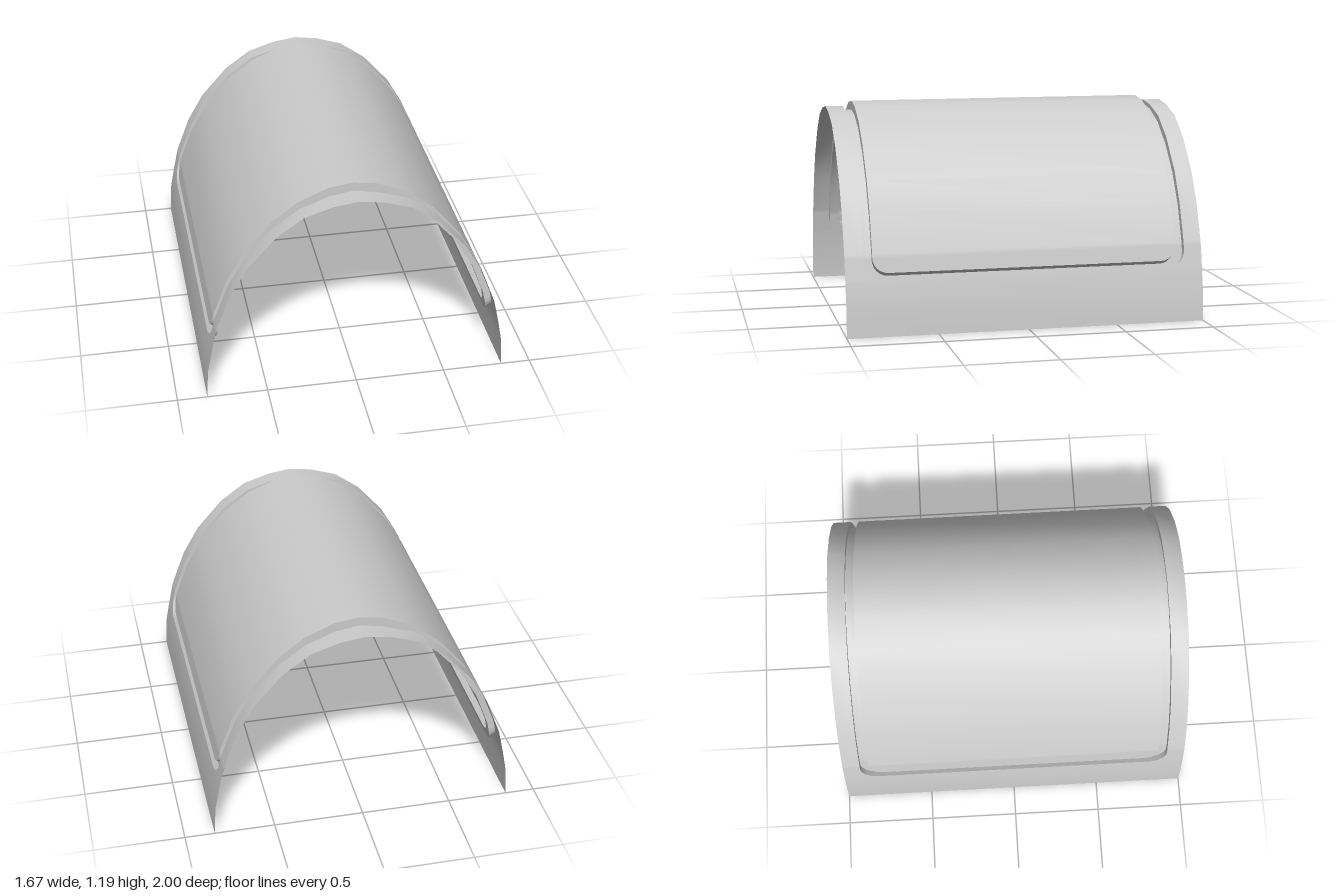
import * as THREE from 'three';
import { mergeGeometries, mergeVertices } from 'three/addons/utils/BufferGeometryUtils.js';

// Half cross-sections [x, y] from the crown down; all share one station index k
const SHELL = [[0, 1.165], [0.135, 1.146], [0.29, 1.097], [0.44, 0.99], [0.595, 0.815],
  [0.69, 0.65], [0.77, 0.44], [0.8, 0.302], [0.825, 0.17], [0.835, 0]];
const FLOOR = [[0, 1.143], [0.13, 1.122], [0.28, 1.06], [0.425, 0.95], [0.555, 0.805],
  [0.66, 0.63], [0.735, 0.43], [0.765, 0.283]];
const PANEL = [[0, 1.193], [0.135, 1.174], [0.295, 1.105], [0.44, 0.995], [0.592, 0.815],
  [0.69, 0.65], [0.768, 0.44], [0.793, 0.307]];

// Rounded outlines: end station, station where the corner starts, half length, corner radius
const OUTER = { end: 7, corner: 6.3, half: 0.9, r: 0.1 };
const INNER = { end: 6.76, corner: 6.15, half: 0.85, r: 0.085 };

// Point on a cross-section at signed station k
function at(profile, k, z) {
  const a = Math.abs(k);
  const i = Math.min(Math.floor(a), profile.length - 2);
  const f = a - i;
  const [p, q] = [profile[i], profile[i + 1]];
  return [Math.sign(k) * (p[0] + (q[0] - p[0]) * f), p[1] + (q[1] - p[1]) * f, z];
}

// Half length of an outline at station k
function width(o, k) {
  const t = Math.min(1, Math.max(0, (Math.abs(k) - o.corner) / (o.end - o.corner)));
  return o.half - o.r * (1 - Math.sqrt(1 - t * t));
}

// Stations from a to b, including breakpoints and rounded corner steps
function stations(a, b) {
  const set = new Set([a, b]);
  for (let k = -9; k <= 9; k++) set.add(k);
  for (const o of [OUTER, INNER]) {
    for (let i = 0; i <= 6; i++) {
      const k = o.corner + (o.end - o.corner) * Math.sin((i / 6) * Math.PI / 2);
      set.add(k).add(-k);
    }
  }
  return [...set].filter((k) => k >= a && k <= b).sort((p, q) => p - q);
}

// Surface between two matching lines of points
function loft(a, b) {
  const pos = [], idx = [];
  a.forEach((p, i) => {
    pos.push(...p, ...b[i]);
    if (i) {
      const n = 2 * i;
      idx.push(n - 2, n - 1, n, n - 1, n + 1, n);
    }
  });
  const g = new THREE.BufferGeometry();
  g.setAttribute('position', new THREE.Float32BufferAttribute(pos, 3));
  g.setIndex(idx);
  return g;
}

// Strip of a curved sheet between two z limits that depend on k
function strip(profile, a, b, lo, hi) {
  const ks = stations(a, b);
  return loft(ks.map((k) => at(profile, k, lo(k))), ks.map((k) => at(profile, k, hi(k))));
}

// Closed outline laid on a cross-section
function outline(o, profile) {
  const ks = stations(-o.end, o.end);
  const pts = ks.map((k) => at(profile, k, width(o, k)));
  pts.push(...ks.reverse().map((k) => at(profile, k, -width(o, k))));
  return [...pts, pts[0]];
}

// Frame-shaped sheet: two arched bands and the strips below them
function frame(profile, hole, end, edge) {
  const hw = (k) => width(hole, k);
  const neg = (f) => (k) => -f(k);
  return [
    strip(profile, -hole.end, hole.end, hw, edge),
    strip(profile, -hole.end, hole.end, neg(edge), neg(hw)),
    strip(profile, hole.end, end, neg(edge), edge),
    strip(profile, -end, -hole.end, neg(edge), edge),
  ];
}

export function createModel() {
  const group = new THREE.Group();
  const material = new THREE.MeshStandardMaterial({ color: 0xcccccc, side: THREE.DoubleSide });
  const add = (name, parts) => {
    const g = mergeVertices(mergeGeometries(parts), 1e-5);
    g.computeVertexNormals();
    const mesh = new THREE.Mesh(g, material);
    mesh.name = name;
    group.add(mesh);
  };

  // Arched border and lower skirts
  add('archedShell', frame(SHELL, OUTER, 9, () => 1));
  // Recessed channel around the panel
  add('grooveOuterWall', [loft(outline(OUTER, FLOOR), outline(OUTER, SHELL))]);
  add('grooveFloor', frame(FLOOR, INNER, OUTER.end, (k) => width(OUTER, k)));
  add('grooveInnerWall', [loft(outline(INNER, PANEL), outline(INNER, FLOOR))]);
  // Raised central panel
  add('raisedPanel', [strip(PANEL, -INNER.end, INNER.end,
    (k) => -width(INNER, k), (k) => width(INNER, k))]);
  return group;
}
